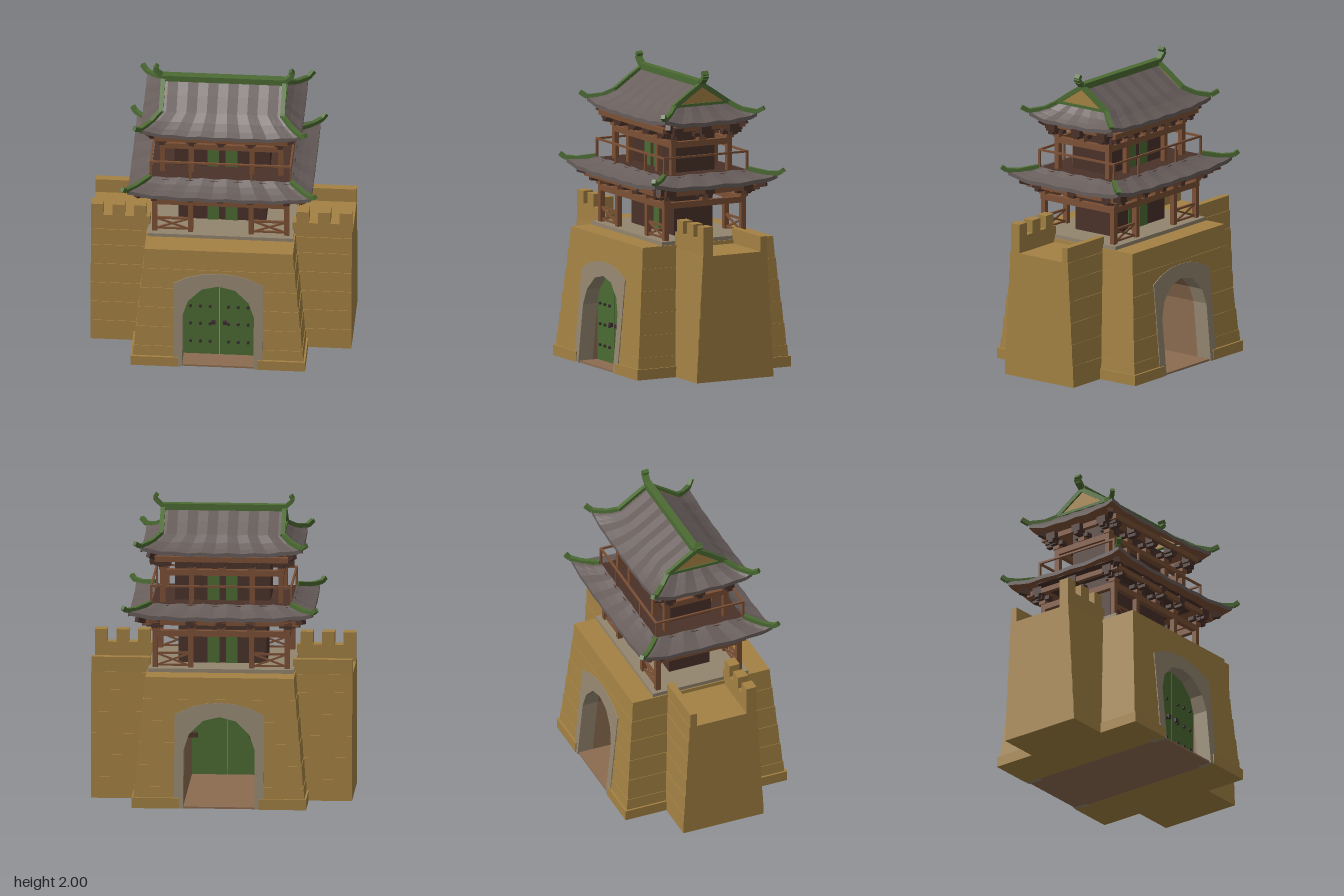
import * as THREE from 'three';

const mat = (name, color) => Object.assign(new THREE.MeshStandardMaterial({ color }), { name });
const brick = mat('ochre brick', 0xa38143), stone = mat('grey stone', 0x93856f),
  green = mat('green paint', 0x4c6b33), tile = mat('roof tile', 0x675d5b),
  wood = mat('brown timber', 0x7c5035), dark = mat('dark timber', 0x4a3129),
  earth = mat('passage earth', 0x8b6c50), iron = mat('iron', 0x3a2c30);

function add(parent, name, geo, material) {
  const m = new THREE.Mesh(geo, material);
  m.name = name;
  parent.add(m);
  return m;
}
// Box given by its minimum and maximum corners
function box(parent, name, material, x0, x1, y0, y1, z0, z1) {
  const m = add(parent, name, new THREE.BoxGeometry(x1 - x0, y1 - y0, z1 - z0), material);
  m.position.set((x0 + x1) / 2, (y0 + y1) / 2, (z0 + z1) / 2);
  return m;
}
// Straight bar between two points
function bar(parent, name, material, a, b, w, h) {
  const p = new THREE.Vector3(...a), q = new THREE.Vector3(...b);
  const m = add(parent, name, new THREE.BoxGeometry(w, h, p.distanceTo(q)), material);
  m.position.copy(p).lerp(q, 0.5);
  m.lookAt(q);
}
// Rectangular ring of four bars
function ringBeam(parent, name, material, hx, hz, y0, y1, t) {
  for (const s of [-1, 1]) {
    box(parent, name, material, -hx - t / 2, hx + t / 2, y0, y1, s * hz - t / 2, s * hz + t / 2);
    box(parent, name, material, s * hx - t / 2, s * hx + t / 2, y0, y1, -hz + t / 2, hz - t / 2);
  }
}
// Outline extruded along z, with front and back faces that may slope with height
function slab(parent, name, material, pts, front, back) {
  const geo = new THREE.ExtrudeGeometry(new THREE.Shape(pts.map(p => new THREE.Vector2(...p))), { depth: 1, bevelEnabled: false });
  const p = geo.attributes.position;
  for (let i = 0; i < p.count; i++) p.setZ(i, p.getZ(i) > 0.5 ? front(p.getY(i)) : back(p.getY(i)));
  geo.computeVertexNormals();
  return add(parent, name, geo, material);
}
// Flat-shaded grid surface
function grid(f, nu, nv) {
  const pos = [];
  for (let i = 0; i < nu; i++) for (let j = 0; j < nv; j++) {
    const a = f(i, j), b = f(i, j + 1), c = f(i + 1, j), d = f(i + 1, j + 1);
    pos.push(...a, ...b, ...c, ...c, ...b, ...d);
  }
  const geo = new THREE.BufferGeometry();
  geo.setAttribute('position', new THREE.Float32BufferAttribute(pos, 3));
  geo.computeVertexNormals();
  return geo;
}
// One roof slope; rows are [half length, distance out, height, corner lift]
function slope(parent, rows, turn, nu) {
  const n = rows.length - 1, thick = 0.026;
  const P = (i, j, drop = 0) => {
    const [l, o, y, k] = rows[j], u = 2 * i / nu - 1;
    return [u * l, o, y + 0.035 * k * u ** 4 + 0.004 * Math.sin(i * Math.PI / 2) - drop];
  };
  const V = ([x, o, y]) => [x, y, o];
  const parts = [
    ['roofTiles', grid((i, j) => V(P(i, j)), nu, n), tile],
    ['eaveEdge', grid((i, j) => V(P(i, n, j * thick)), nu, 1), tile],
    ['roofUnderside', grid((i, j) => V(P(nu - i, j, thick)), nu, n), wood]];
  for (const [name, geo, m] of parts) add(parent, name, geo.rotateY(turn * Math.PI / 2), m);
}

// Half outlines of the gate opening and of its stone surround
const ARCH = [[0.235, 0], [0.235, 0.385], [0.2, 0.49], [0.11, 0.58], [0, 0.607]];
const HOLE = ARCH.map(([x, y]) => [x ? x + 0.02 : 0, y ? y + 0.02 : 0]);
const SURROUND = [[0.295, 0], [0.295, 0.62], [0.2, 0.667], [0.1, 0.693], [0, 0.7]];
const whole = h => [...h, ...h.slice(0, -1).reverse().map(([x, y]) => [-x, y])];
const hoop = (outer, inner) => [...whole(outer), ...whole(inner).reverse()];
const hx = y => 0.567 - 0.095 * y, hz = y => 0.567 - 0.095 * y;
function holeWidth(y) {
  for (let i = 1; i < HOLE.length; i++) {
    const [x0, y0] = HOLE[i - 1], [x1, y1] = HOLE[i];
    if (y <= y1) return x0 + (x1 - x0) * (y - y0) / (y1 - y0);
  }
  return 0;
}

function gateBase(g) {
  // Battered brick courses, split around the passage
  const N = 6, H = 0.865;
  for (let c = 0; c < N; c++) {
    const y0 = c * H / N, y1 = (c + 1) * H / N, ledge = y => 0.004 * (y - y0) / (y1 - y0);
    const inner = [[holeWidth(y1), y1], ...HOLE.filter(p => p[1] > y0 && p[1] < y1).reverse(), [holeWidth(y0), y0]];
    const pts = [[hx(y0), y0], [hx(y1) + 0.004, y1], ...inner];
    for (const s of [-1, 1]) {
      slab(g, 'baseCourse', brick, pts.map(([x, y]) => [s * x, y]), y => hz(y) + ledge(y), y => -hz(y) - ledge(y));
      // Side wall courses
      const w = y => 0.287 - 0.058 * y, top = c === N - 1 ? 0.84 : y1;
      slab(g, 'wallCourse', brick, [[s * 0.44, y0], [s * 0.86, y0], [s * 0.86, top], [s * 0.44, top]],
        y => w(y) + ledge(y), y => -w(y) - ledge(y));
    }
  }
  for (const s of [-1, 1]) {
    const sb = (name, m, a, b, ...r) => box(g, name, m, Math.min(s * a, s * b), Math.max(s * a, s * b), ...r);
    sb('plinth', brick, 0.262, 0.575, 0, 0.07, -0.578, 0.578);
    // Parapets and merlons
    sb('frontParapet', brick, 0.47, 0.86, 0.83, 0.95, 0.165, 0.237);
    sb('backParapet', brick, 0.47, 0.86, 0.83, 0.94, -0.237, -0.19);
    for (const x of [0.495, 0.637, 0.778]) sb('merlon', brick, x, x + 0.082, 0.95, 1.035, 0.165, 0.237);
    // Stone surround on front and back
    slab(g, 'archSurround', stone, hoop(SURROUND, ARCH),
      s > 0 ? y => hz(y) + 0.008 : y => 0.1 - hz(y), s > 0 ? y => hz(y) - 0.1 : y => -hz(y) - 0.008);
    // Door leaves with studs and handles
    slab(g, 'gateLeaf', green, [[0.003, 0.012], [0.235, 0.012], ...ARCH.slice(1, 4), [0.003, 0.606]].map(([x, y]) => [s * x, y]),
      () => 0.43, () => 0.4);
    for (const x of [0.06, 0.125, 0.19]) for (const y of [0.115, 0.255, 0.392]) {
      const stud = add(g, 'gateStud', new THREE.CylinderGeometry(0.01, 0.01, 0.012, 8).rotateX(Math.PI / 2), iron);
      stud.position.set(s * x, y, 0.436);
    }
    sb('gateHandle', iron, 0.025, 0.052, 0.257, 0.282, 0.43, 0.448);
    sb('passageBracket', dark, 0.17, 0.235, 0.36, 0.39, -0.05, 0.0);
  }
  slab(g, 'passageLining', earth, hoop(HOLE, ARCH), y => hz(y) - 0.1, y => 0.1 - hz(y));
  box(g, 'passageFloor', earth, -0.235, 0.235, 0, 0.012, -0.565, 0.565);
  box(g, 'terrace', stone, -0.48, 0.48, 0.862, 0.89, -0.34, 0.34);
}

// Stepped bracket, growing outwards from the beam in direction (nx, nz)
function bracket(g, x, y, z, nx, nz, reach) {
  const b = new THREE.Group();
  b.name = 'eaveBracket';
  b.position.set(x, y, z);
  b.rotation.y = Math.atan2(nx, nz);
  g.add(b);
  box(b, 'bracketBlock', wood, -0.025, 0.025, 0, 0.025, -0.025, 0.025);
  box(b, 'bracketArm', dark, -0.055, 0.055, 0.025, 0.05, -0.02, 0.025);
  box(b, 'bracketTongue', dark, -0.018, 0.018, 0.03, 0.06, -0.04, reach);
  box(b, 'bracketCap', dark, -0.035, 0.035, 0.05, 0.1, reach - 0.055, reach);
}

// One timber storey: walls, doors, columns, beams, brackets
function storey(g, o) {
  box(g, 'storeyWall', dark, -o.wx, o.wx, o.y, o.wallTop, -0.145, 0.145);
  for (const s of [-1, 1]) {
    for (const zs of [-1, 1]) {
      const x = s * 0.06, z = zs * 0.147;
      box(g, 'storeyDoor', green, x - 0.039, x + 0.039, o.y, o.beam, z - 0.004, z + 0.004);
      for (const cx of [o.cx, 0.2])
        box(g, 'column', wood, s * cx - 0.017, s * cx + 0.017, o.y, o.beam + 0.08, zs * o.cz - 0.017, zs * o.cz + 0.017);
      for (const bx of [0.195, o.cx]) bracket(g, s * bx, o.beam + 0.04, zs * o.cz, 0, zs, o.reach);
      bracket(g, s * o.cx, o.beam + 0.04, zs * o.cz, s, 0, o.reach);
      // Corner rafter below the eave
      bar(g, 'cornerRafter', dark, [s * o.cx, o.beam + 0.1, zs * o.cz], [s * (o.ex - 0.05), o.eave - 0.015, zs * (o.ez - 0.05)], 0.035, 0.04);
    }
    bracket(g, 0, o.beam + 0.04, s * o.cz, 0, s, o.reach);
    bracket(g, s * o.cx, o.beam + 0.04, 0, s, 0, o.reach);
  }
  ringBeam(g, 'tieBeam', wood, o.cx, o.cz, o.beam, o.beam + 0.04, 0.035);
  ringBeam(g, 'eaveBeam', wood, o.px, o.pz, o.purlin, o.purlin + 0.035, 0.03);
}

function roof(g, frontRows, sideRows) {
  for (const t of [0, 2]) slope(g, frontRows, t, 24);
  for (const t of [1, 3]) slope(g, sideRows, t, 16);
}
// Chain of ridge bars repeated at the four corners
function ridges(g, name, pts, w) {
  for (const sx of [-1, 1]) for (const sz of [-1, 1]) for (let i = 1; i < pts.length; i++) {
    const [a, b] = [pts[i - 1], pts[i]].map(([x, y, z]) => [sx * x, y, sz * z]);
    bar(g, name, green, a, b, w, w);
  }
}

export function createModel() {
  const model = new THREE.Group();
  model.name = 'gateTower';
  const part = name => { const p = new THREE.Group(); p.name = name; model.add(p); return p; };
  gateBase(part('gateBase'));

  // Lower storey with crossed railings beside the corner columns
  const lower = part('lowerStorey');
  storey(lower, { y: 0.89, wx: 0.29, wallTop: 1.3, cx: 0.435, cz: 0.29, beam: 1.1, reach: 0.085, px: 0.5, pz: 0.36, purlin: 1.19, ex: 0.6, ez: 0.455, eave: 1.25 });
  for (const s of [-1, 1]) for (const z of [-0.29, 0.29]) {
    bar(lower, 'railTop', wood, [s * 0.2, 0.985, z], [s * 0.435, 0.985, z], 0.014, 0.014);
    bar(lower, 'railBottom', wood, [s * 0.2, 0.905, z], [s * 0.435, 0.905, z], 0.012, 0.012);
    bar(lower, 'railCross', wood, [s * 0.22, 0.905, z], [s * 0.42, 0.98, z], 0.01, 0.012);
    bar(lower, 'railCross', wood, [s * 0.22, 0.98, z], [s * 0.42, 0.905, z], 0.01, 0.012);
  }

  // Lower skirt roof
  const skirt = part('lowerRoof');
  roof(skirt, [[0.46, 0.31, 1.32, 0], [0.51, 0.36, 1.295, 0.2], [0.56, 0.41, 1.276, 0.6], [0.605, 0.46, 1.262, 1]],
    [[0.31, 0.46, 1.32, 0], [0.36, 0.51, 1.295, 0.2], [0.41, 0.56, 1.276, 0.6], [0.46, 0.605, 1.262, 1]]);
  ridges(skirt, 'hipRidge', [[0.465, 1.325, 0.315], [0.56, 1.302, 0.41], [0.615, 1.306, 0.467], [0.637, 1.33, 0.49]], 0.028);

  // Balcony floor and railing
  const balcony = part('balcony');
  box(balcony, 'balconyFloor', dark, -0.475, 0.475, 1.285, 1.312, -0.325, 0.325);
  ringBeam(balcony, 'handrail', wood, 0.46, 0.31, 1.433, 1.446, 0.013);
  for (const x of [-0.46, -0.2, 0.2, 0.46]) for (const z of [-0.31, 0.31])
    box(balcony, 'railPost', wood, x - 0.007, x + 0.007, 1.3, 1.44, z - 0.007, z + 0.007);

  // Upper storey
  storey(part('upperStorey'), { y: 1.3, wx: 0.315, wallTop: 1.66, cx: 0.39, cz: 0.21, beam: 1.493, reach: 0.085, px: 0.425, pz: 0.295, purlin: 1.602, ex: 0.53, ez: 0.345, eave: 1.665 });

  // Hip-and-gable upper roof
  const top = part('upperRoof');
  const rows = [[0.4, 0, 1.9, 0], [0.4, 0.1, 1.83, 0], [0.4, 0.2, 1.765, 0], [0.45, 0.255, 1.722, 0.2], [0.495, 0.305, 1.692, 0.6], [0.53, 0.345, 1.672, 1]];
  roof(top, rows, rows.slice(2).map(([l, o, y, k]) => [o, l, y, k]));
  ridges(top, 'gableRidge', [[0.4, 1.905, 0], [0.4, 1.84, 0.1], [0.4, 1.765, 0.21]], 0.03);
  ridges(top, 'hipRidge', [[0.4, 1.77, 0.2], [0.46, 1.728, 0.268], [0.53, 1.712, 0.345], [0.565, 1.74, 0.38]], 0.028);
  box(top, 'mainRidge', green, -0.41, 0.41, 1.888, 1.93, -0.025, 0.025);
  for (const s of [-1, 1]) {
    const gable = add(top, 'gableWall', new THREE.ExtrudeGeometry(new THREE.Shape(
      [[-0.2, 1.765], [0.2, 1.765], [0, 1.9]].map(p => new THREE.Vector2(...p))), { depth: 0.02, bevelEnabled: false }), brick);
    gable.rotation.y = Math.PI / 2;
    gable.position.x = s > 0 ? 0.383 : -0.403;
    box(top, 'gableSill', green, s * 0.4 - 0.012, s * 0.4 + 0.012, 1.762, 1.78, -0.2, 0.2);
    // Upturned ridge end
    const horn = [[0.395, 1.905], [0.445, 1.95], [0.455, 1.968], [0.438, 1.992]];
    for (let i = 1; i < horn.length; i++)
      bar(top, 'ridgeHorn', green, [s * horn[i - 1][0], horn[i - 1][1], 0], [s * horn[i][0], horn[i][1], 0], 0.042, 0.026);
  }
  return model;
}
